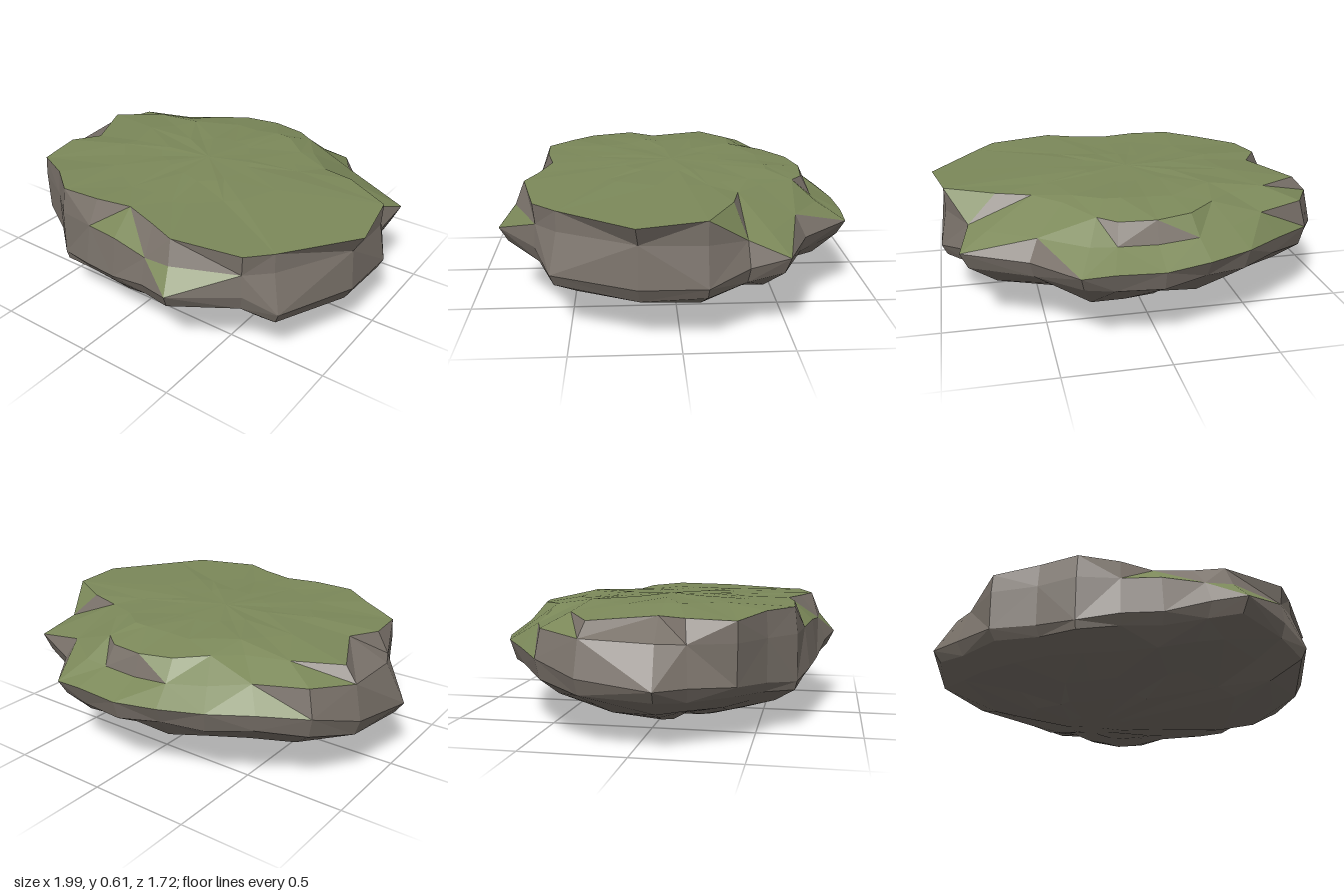
import * as THREE from 'three';

const N = 24; // corners per ring, about every 15 degrees from +x towards +z

// Radii and heights of the three rings that shape the slab
const RIM = {
  r: [.95, 1.02, .93, .93, .80, .70, .62, .68, .77, .77, .87, .81, .70, .87, .72, .60, .61, .66, .68, .68, .65, .57, .60, .74],
  y: [.59, .575, .585, .59, .595, .595, .60, .595, .59, .585, .565, .57, .57, .56, .57, .575, .575, .57, .565, .56, .565, .58, .585, .59],
};
const SHOULDER = {
  r: [.95, .96, .93, .92, .84, .79, .74, .74, .78, .78, .87, .87, .90, .94, .91, .78, .75, .74, .72, .73, .77, .78, .86, .88],
  y: [.48, .48, .48, .48, .48, .47, .49, .47, .46, .46, .47, .47, .47, .49, .51, .50, .49, .47, .46, .46, .46, .47, .46, .46],
};
const BELLY = {
  r: [.98, .98, .99, .93, .94, .84, .77, .765, .79, .78, .87, .92, 1, .975, .945, .87, .86, .85, .865, .89, .93, .84, 1.01, .92],
  y: [.29, .29, .30, .38, .38, .35, .29, .27, .24, .25, .27, .28, .28, .32, .38, .40, .40, .39, .385, .385, .385, .37, .385, .34],
};
const CORE = { r: new Array(N).fill(1), y: new Array(N).fill(1) };

// Corners moved round the ring, in steps, to put the jutting tips in place
const TURN = { 0: -0.45, 1: -0.25, 2: 0.4, 4: 0.4, 12: -0.4, 20: -0.4, 21: -0.1, 22: 0.1, 23: -0.3 };

// Repeatable unevenness in -1..1
function rough(i, j) {
  const s = Math.sin(i * 127.1 + j * 311.7) * 43758.5453;
  return 2 * (s - Math.floor(s)) - 1;
}

// Rings from the underside to the crown: shape, radius and height scale,
// centre x, unevenness in height and radius
const RINGS = [
  { shape: CORE, s: 0, h: 0, x: -0.14, dy: 0, dr: 0 },
  { shape: BELLY, s: 0.15, h: 0.03, x: -0.14, dy: 0.004, dr: 0.01 },
  { shape: BELLY, s: 0.37, h: 0.15, x: -0.1, dy: 0.012, dr: 0.04 },
  { shape: BELLY, s: 0.62, h: 0.32, x: -0.02, dy: 0.015, dr: 0.035 },
  { shape: BELLY, s: 0.83, h: 0.54, x: 0, dy: 0.015, dr: 0.025 },
  { shape: BELLY, s: 0.97, h: 0.77, x: 0, dy: 0.015, dr: 0.015 },
  { shape: BELLY, s: 1, h: 1, x: 0, dy: 0.006, dr: 0 },
  { shape: SHOULDER, s: 1, h: 1, x: 0, dy: 0.008, dr: 0.008 },
  { shape: RIM, s: 1, h: 1, x: 0, dy: 0.004, dr: 0 },
  { shape: CORE, s: 0.48, h: 0.599, x: 0, dy: 0.006, dr: 0.04 },
  { shape: CORE, s: 0.24, h: 0.607, x: 0, dy: 0.004, dr: 0.03 },
  { shape: CORE, s: 0, h: 0.612, x: 0, dy: 0, dr: 0 },
];
const BELLY_LEVEL = 6, RIM_LEVEL = 8;

function corner(j, i) {
  const k = i % N, g = RINGS[j];
  const a = ((k + (TURN[k] ?? 0)) / N) * Math.PI * 2;
  const r = g.shape.r[k] * g.s + g.dr * rough(k, j);
  const y = g.shape.y[k] * g.h + g.dy * rough(k + 40, j);
  return new THREE.Vector3(g.x + Math.cos(a) * r, y, Math.sin(a) * r);
}

export function createModel() {
  const group = new THREE.Group();
  group.name = 'rockSlab';
  const parts = { grassTop: [], rockBody: [] };

  // The top and its gentle slopes are grass, apart from the bare -x flank
  function facet(a, b, c, level) {
    const n = b.clone().sub(a).cross(c.clone().sub(a));
    if (n.lengthSq() < 1e-12) return;
    n.normalize();
    const bare = (a.x + b.x + c.x) / 3 < -0.68 && (a.z + b.z + c.z) / 3 > -0.3;
    const grass = level >= RIM_LEVEL || (level >= BELLY_LEVEL && n.y > 0.58 && !bare);
    for (const p of [a, b, c]) parts[grass ? 'grassTop' : 'rockBody'].push(p.x, p.y, p.z);
  }

  // Skin between neighbouring rings with alternating diagonals
  for (let j = 0; j < RINGS.length - 1; j++) {
    for (let i = 0; i < N; i++) {
      const a = corner(j, i), b = corner(j, i + 1), c = corner(j + 1, i + 1), d = corner(j + 1, i);
      if ((i + j) % 2) {
        facet(a, d, b, j);
        facet(d, c, b, j);
      } else {
        facet(a, d, c, j);
        facet(a, c, b, j);
      }
    }
  }

  const colors = { grassTop: 0x7c895a, rockBody: 0x7b736b };
  for (const [name, points] of Object.entries(parts)) {
    const geometry = new THREE.BufferGeometry();
    geometry.setAttribute('position', new THREE.Float32BufferAttribute(points, 3));
    geometry.computeVertexNormals();
    const mesh = new THREE.Mesh(geometry, new THREE.MeshStandardMaterial({ color: colors[name], flatShading: true }));
    mesh.name = name;
    group.add(mesh);
  }
  return group;
}
